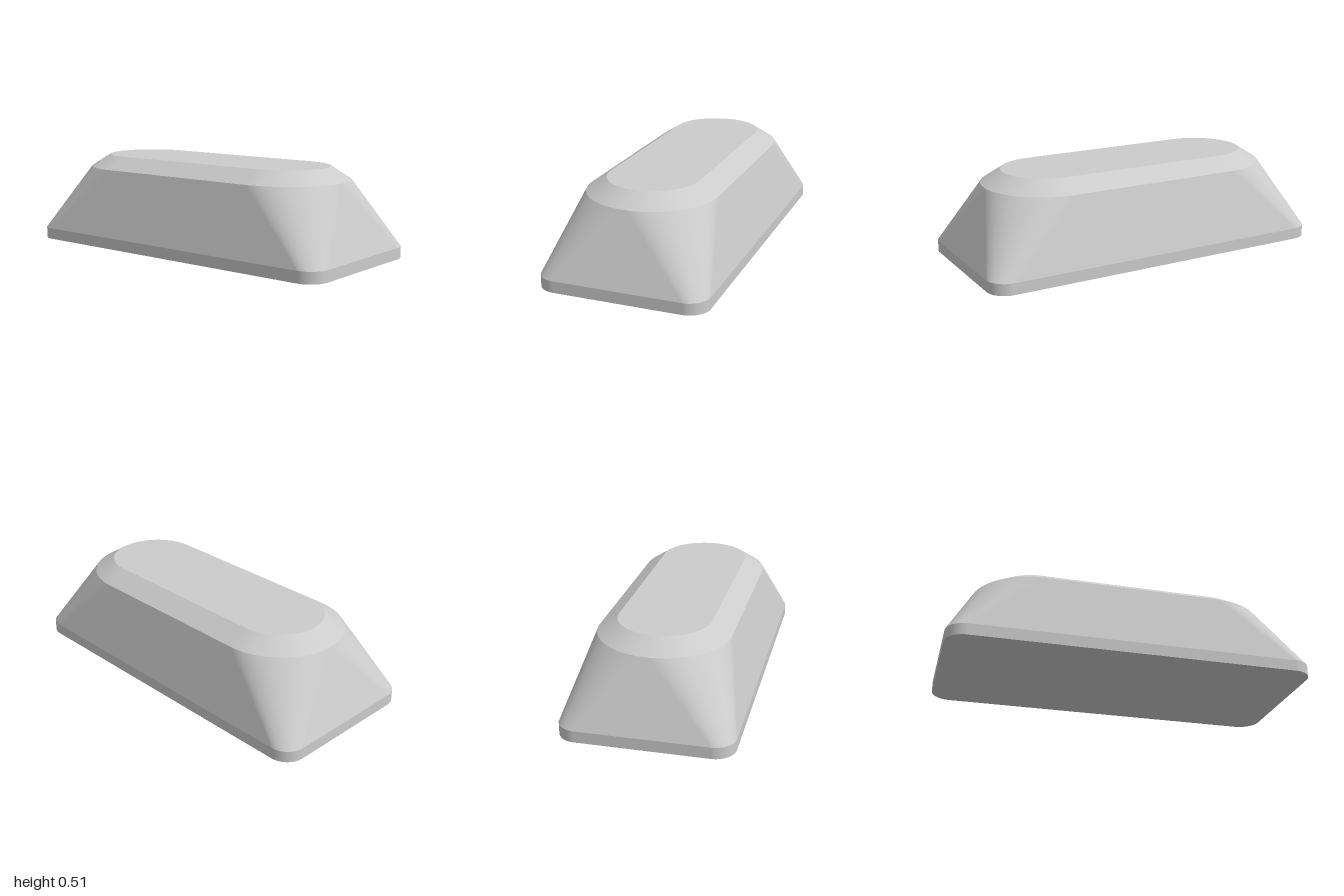
import * as THREE from 'three';

const STEPS = 24; // segments per quarter corner

// Rounded-rectangle section; each point carries its outward direction.
function section(halfW, halfD, r, y) {
  const pts = [];
  for (let q = 0; q < 4; q++) {
    const cx = (q === 0 || q === 3 ? 1 : -1) * (halfW - r);
    const cz = (q < 2 ? 1 : -1) * (halfD - r);
    for (let i = 0; i <= STEPS; i++) {
      const a = (q + i / STEPS) * Math.PI / 2;
      const nx = Math.cos(a), nz = Math.sin(a);
      pts.push({ x: cx + r * nx, y, z: cz + r * nz, nx, nz });
    }
  }
  return pts;
}

function build(pos, nor, index) {
  const g = new THREE.BufferGeometry();
  g.setAttribute('position', new THREE.Float32BufferAttribute(pos, 3));
  g.setAttribute('normal', new THREE.Float32BufferAttribute(nor, 3));
  g.setIndex(index);
  return g;
}

// Ruled wall between two sections, smooth around and sharp at its rims.
function band(low, high) {
  const pos = [], nor = [], index = [], n = low.length;
  low.forEach((p, i) => {
    const t = high[i];
    const out = (t.x - p.x) * p.nx + (t.z - p.z) * p.nz;
    const rise = t.y - p.y;
    const v = new THREE.Vector3(p.nx * rise, -out, p.nz * rise).normalize();
    pos.push(p.x, p.y, p.z, t.x, t.y, t.z);
    nor.push(v.x, v.y, v.z, v.x, v.y, v.z);
    const a = 2 * i, b = 2 * ((i + 1) % n);
    index.push(a, a + 1, b, b, a + 1, b + 1);
  });
  return build(pos, nor, index);
}

// Flat lid facing up (dir 1) or down (dir -1).
function cap(pts, dir) {
  const pos = [0, pts[0].y, 0], nor = [0, dir, 0], index = [], n = pts.length;
  pts.forEach((p, i) => {
    pos.push(p.x, p.y, p.z);
    nor.push(0, dir, 0);
    const a = i + 1, b = (i + 1) % n + 1;
    index.push(0, ...(dir > 0 ? [b, a] : [a, b]));
  });
  return build(pos, nor, index);
}

export function createModel() {
  const group = new THREE.Group();
  group.name = 'taperedBlock';
  const material = new THREE.MeshStandardMaterial({ color: 0xcccccc });

  const foot = section(0.458, 1, 0.11, 0);
  const footTop = section(0.458, 1, 0.11, 0.063);
  const shoulder = section(0.355, 0.85, 0.355, 0.436);
  const crown = section(0.248, 0.74, 0.248, 0.506);

  const parts = {
    underside: cap(foot, -1),
    baseRim: band(foot, footTop),
    taperedSides: band(footTop, shoulder),
    topBevel: band(shoulder, crown),
    topFace: cap(crown, 1),
  };
  for (const [name, geometry] of Object.entries(parts)) {
    const mesh = new THREE.Mesh(geometry, material);
    mesh.name = name;
    group.add(mesh);
  }
  return group;
}
